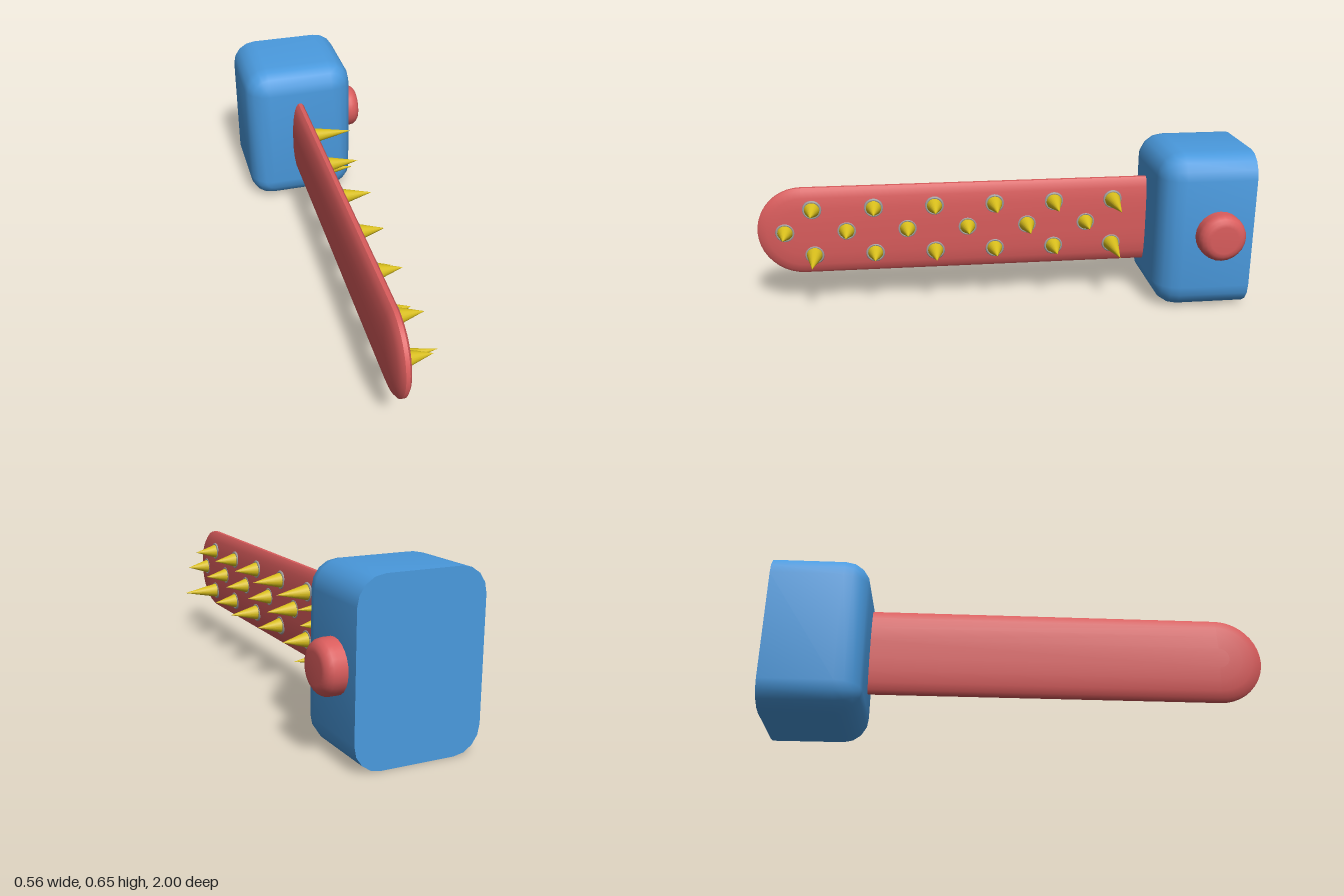
import * as THREE from 'three';
import { toCreasedNormals } from 'three/addons/utils/BufferGeometryUtils.js';

const mat = (color, side = THREE.FrontSide) => new THREE.MeshStandardMaterial({ color, side });
const blue = mat(0x4a9ade), red = mat(0xd95c5c), yellow = mat(0xd8be1c), grey = mat(0xa0a0a0);

function addMesh(parent, name, geometry, material) {
  const mesh = new THREE.Mesh(geometry, material);
  mesh.name = name;
  parent.add(mesh);
  return mesh;
}

// Skin counter-clockwise rings of equal length and cap both ends
function loft(rings, crease = 0.6) {
  const n = rings[0].length, pos = rings.flat(2), idx = [];
  for (let r = 0; r < rings.length - 1; r++) {
    for (let i = 0; i < n; i++) {
      const a = r * n + i, b = r * n + (i + 1) % n;
      idx.push(a, b, b + n, a, b + n, a + n);
    }
  }
  const last = (rings.length - 1) * n;
  for (let i = 1; i < n - 1; i++) {
    idx.push(0, i + 1, i, last, last + i, last + i + 1);
  }
  const g = new THREE.BufferGeometry();
  g.setAttribute('position', new THREE.Float32BufferAttribute(pos, 3));
  g.setIndex(idx);
  return toCreasedNormals(g, crease);
}

// Block outline: rounded rectangle at depth z, shrunk by inset
function blockRing(z, inset) {
  const radius = 0.101 - inset, ring = [];
  const corners = [[0.104, 0.554], [-0.18, 0.554], [-0.18, 0.101], [0.104, 0.101]];
  corners.forEach(([x, y], c) => {
    for (let i = 0; i <= 4; i++) {
      const a = (c + i / 4) * Math.PI / 2;
      ring.push([x + radius * Math.cos(a), y + radius * Math.sin(a), z]);
    }
  });
  return ring;
}

// Blade outline: round nose, square back, at sideways position x
function bladeRing(x, inset) {
  const radius = 0.1825 - inset, ring = [[x, 0.3275 + radius, -0.61]];
  for (let i = 0; i <= 20; i++) {
    const a = i / 20 * Math.PI;
    ring.push([x, 0.3275 + radius * Math.cos(a), 0.8175 + radius * Math.sin(a)]);
  }
  ring.push([x, 0.3275 - radius, -0.61]);
  return ring;
}

export function createModel() {
  const model = new THREE.Group();
  model.name = 'spikedBlade';

  // Handle block with a flat back and rounded front edges
  const blockRings = [blockRing(-1, 0)];
  for (let i = 0; i <= 4; i++) {
    const a = i / 4 * Math.PI / 2;
    blockRings.push(blockRing(-0.715 + 0.1 * Math.sin(a), 0.1 * (1 - Math.cos(a))));
  }
  addMesh(model, 'handleBlock', loft(blockRings), blue);

  // Round button on the left side of the block
  const profile = [new THREE.Vector2(0.098, -0.02)];
  for (let i = 0; i <= 4; i++) {
    const a = i / 4 * Math.PI / 2;
    profile.push(new THREE.Vector2(0.056 + 0.042 * Math.cos(a), 0.033 + 0.042 * Math.sin(a)));
  }
  profile.push(new THREE.Vector2(0, 0.075));
  const button = addMesh(model, 'button', new THREE.LatheGeometry(profile, 24), red);
  button.rotation.z = -Math.PI / 2;
  button.position.set(0.205, 0.33, -0.857);

  // Thin blade with edges that taper to the rim
  const bladeLevels = [
    [-0.085, 0.14], [-0.081, 0.085], [-0.074, 0.04], [-0.065, 0.012], [-0.055, 0],
    [-0.04, 0], [-0.031, 0.012], [-0.023, 0.04], [-0.018, 0.085], [-0.016, 0.14],
  ];
  addMesh(model, 'blade', loft(bladeLevels.map(([x, d]) => bladeRing(x, d))), red);

  // Three staggered rows of spikes: height, first z, tip positions in x
  const rows = [
    [0.422, 0.775, [0.08, 0.08, 0.085, 0.105, 0.115, 0.152]],
    [0.328, 0.888, [0.08, 0.08, 0.08, 0.08, 0.105, 0.08]],
    [0.228, 0.775, [0.14, 0.08, 0.105, 0.085, 0.09, 0.16]],
  ];
  const spikes = new THREE.Group();
  spikes.name = 'spikes';
  model.add(spikes);
  const base = -0.025;
  const collarGeometry = new THREE.TorusGeometry(0.034, 0.006, 6, 20);
  for (const [y, firstZ, tips] of rows) {
    tips.forEach((tip, i) => {
      const z = firstZ - i * 0.248;
      const cone = new THREE.ConeGeometry(0.034, tip - base, 20);
      cone.rotateZ(-Math.PI / 2);
      addMesh(spikes, 'spike', cone, yellow).position.set((tip + base) / 2, y, z);
      const collar = addMesh(spikes, 'spikeCollar', collarGeometry, grey);
      collar.rotation.y = Math.PI / 2;
      collar.position.set(-0.02, y, z);
    });
  }
  return model;
}
